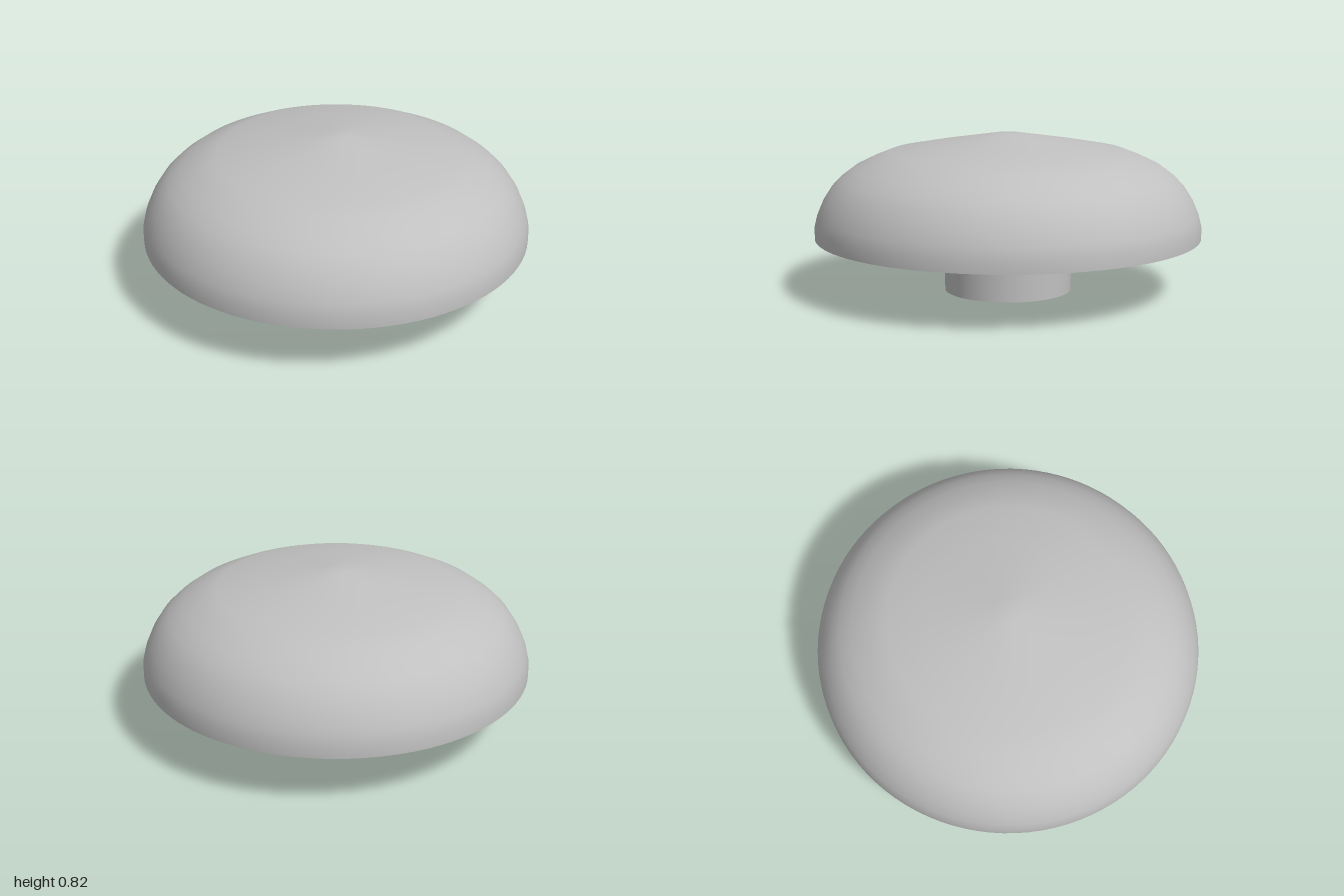
import * as THREE from 'three';

export function createModel() {
  const group = new THREE.Group();
  const grey = new THREE.MeshStandardMaterial({ color: 0xc0c0c0 });

  const add = (name, geometry, y = 0) => {
    const mesh = new THREE.Mesh(geometry, grey);
    mesh.name = name;
    mesh.position.y = y;
    group.add(mesh);
  };

  const capBase = 0.29, stemRadius = 0.33;

  // Domed cap: a short upright rim, a round shoulder and a shallow cone to a small flat tip
  const profile = [
    [1, capBase], [1, 0.35], [0.985, 0.41], [0.955, 0.48], [0.91, 0.55], [0.86, 0.6],
    [0.79, 0.652], [0.7, 0.695], [0.61, 0.73], [0.4, 0.768], [0.07, 0.82], [0, 0.82],
  ].map(([r, y]) => new THREE.Vector2(r, y));
  add('cap', new THREE.LatheGeometry(profile, 96));

  // Flat underside of the cap, facing down
  add('capUnderside', new THREE.CircleGeometry(1, 96).rotateX(Math.PI / 2), capBase);

  // Round stem
  add('stem', new THREE.CylinderGeometry(stemRadius, stemRadius, capBase, 64), capBase / 2);

  return group;
}
